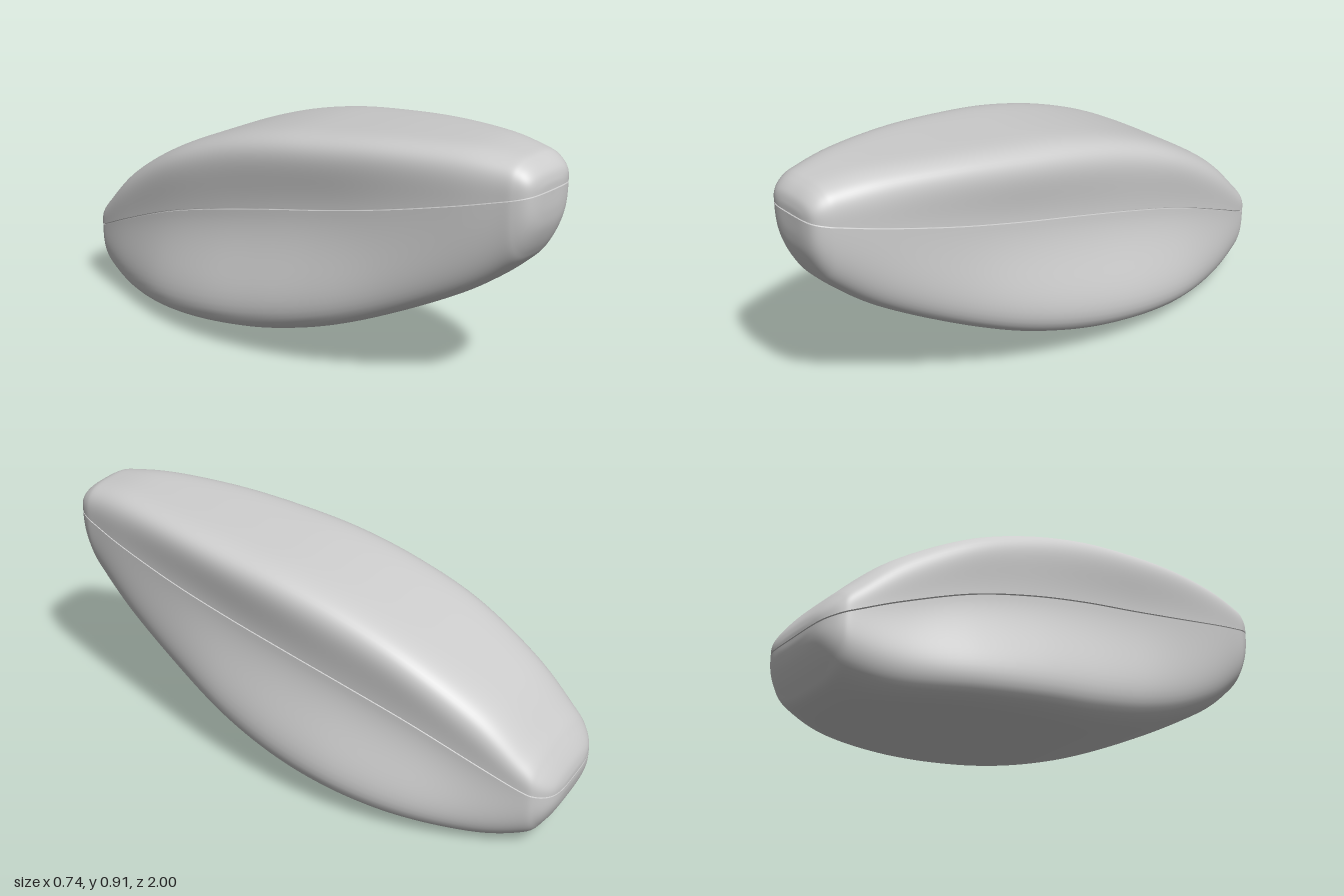
import * as THREE from 'three';

// Cross-section stations from nose to tail:
// z, top y, seam y, bottom y, upper half-width, seam half-width, lower half-width
const STATIONS = [
  [1, 0.79, 0.79, 0.79, 0, 0, 0],
  [0.998, 0.822, 0.79, 0.715, 0.07, 0.07, 0.07],
  [0.985, 0.855, 0.787, 0.65, 0.113, 0.113, 0.11],
  [0.95, 0.885, 0.778, 0.575, 0.14, 0.14, 0.135],
  [0.9, 0.9, 0.765, 0.515, 0.158, 0.156, 0.152],
  [0.75, 0.91, 0.725, 0.398, 0.198, 0.19, 0.192],
  [0.5, 0.895, 0.662, 0.265, 0.248, 0.228, 0.256],
  [0.25, 0.868, 0.606, 0.158, 0.284, 0.254, 0.33],
  [0, 0.83, 0.555, 0.087, 0.303, 0.275, 0.382],
  [-0.25, 0.765, 0.497, 0.047, 0.306, 0.285, 0.403],
  [-0.5, 0.665, 0.425, 0.02, 0.299, 0.281, 0.374],
  [-0.75, 0.52, 0.328, 0, 0.271, 0.26, 0.3],
  [-0.9, 0.385, 0.263, 0.03, 0.24, 0.236, 0.245],
  [-0.95, 0.33, 0.243, 0.078, 0.215, 0.214, 0.215],
  [-0.985, 0.28, 0.229, 0.14, 0.165, 0.165, 0.165],
  [-0.998, 0.245, 0.222, 0.19, 0.1, 0.1, 0.1],
  [-1, 0.22, 0.22, 0.22, 0, 0, 0],
];
const ROWS = 128, COLS = 72, GAP = 0.0025;

// Smooth interpolation of the stations; each curve carries z plus two values
const curveOf = (i, j) => new THREE.CatmullRomCurve3(
  STATIONS.map((s) => new THREE.Vector3(s[0], s[i], s[j])), false, 'catmullrom', 0.5);
const heights = curveOf(1, 2), mixed = curveOf(3, 4), widths = curveOf(5, 6);

function sectionAt(t) {
  const a = heights.getPoint(t), b = mixed.getPoint(t), c = widths.getPoint(t);
  return {
    z: THREE.MathUtils.clamp(a.x, -1, 1), top: a.y, seam: a.z,
    bottom: Math.max(0, b.y), upper: b.z, waist: c.y, lower: c.z,
  };
}

// Indexed surface from a grid of points
function gridGeometry(rows, cols, pointAt, flip) {
  const pos = [], index = [];
  for (let i = 0; i <= rows; i++) {
    for (let j = 0; j <= cols; j++) pos.push(...pointAt(i, j));
  }
  for (let i = 0; i < rows; i++) {
    for (let j = 0; j < cols; j++) {
      const a = i * (cols + 1) + j, b = a + 1, c = a + cols + 1, d = c + 1;
      if (flip) index.push(a, c, b, b, c, d);
      else index.push(a, b, c, b, d, c);
    }
  }
  const g = new THREE.BufferGeometry();
  g.setAttribute('position', new THREE.Float32BufferAttribute(pos, 3));
  g.setIndex(index);
  g.computeVertexNormals();
  return g;
}

// Half shell: a rounded-square arch that flares away from the seam,
// squarer at mid-length and softer towards both ends
function shellGeometry(side) {
  const sections = Array.from({ length: ROWS + 1 }, (_, i) => sectionAt(i / ROWS));
  return gridGeometry(ROWS, COLS, (i, j) => {
    const s = sections[i], angle = (j / COLS) * Math.PI;
    const n = THREE.MathUtils.lerp(3.2, 5.5, THREE.MathUtils.smoothstep(1 - Math.abs(s.z), 0, 0.6));
    const c = Math.cos(angle), q = Math.max(0, Math.sin(angle));
    const r = Math.pow(Math.abs(c) ** n + q ** n, -1 / n);
    const v = r * q;
    const base = s.seam + side * GAP;
    const height = Math.max(0, side > 0 ? s.top - base : base - s.bottom);
    const flare = THREE.MathUtils.smoothstep(v, 0, 1);
    const w = THREE.MathUtils.lerp(s.waist, side > 0 ? s.upper : s.lower, flare);
    return [r * c * Math.max(0, w), base + side * v * height, s.z];
  }, side > 0);
}

// Shallow recessed channel running all round between the shells
function grooveGeometry() {
  const profile = [[1, 1], [0, 1], [0, -1], [1, -1]];
  return gridGeometry(ROWS * 2, 3, (i, j) => {
    const mirror = i <= ROWS ? 1 : -1;
    const s = sectionAt((i <= ROWS ? i : 2 * ROWS - i) / ROWS);
    const [out, up] = profile[j];
    return [
      mirror * Math.max(0, s.waist) * (out ? 1 : 0.975),
      s.seam + up * GAP,
      s.z * (out ? 1 : 0.994),
    ];
  }, false);
}

export function createModel() {
  const group = new THREE.Group();
  group.name = 'roundedShellBody';
  const grey = new THREE.MeshStandardMaterial({ color: 0xcccccc, side: THREE.DoubleSide });
  grey.name = 'lightGrey';

  const add = (name, geometry) => {
    const mesh = new THREE.Mesh(geometry, grey);
    mesh.name = name;
    group.add(mesh);
  };
  add('upperShell', shellGeometry(1));
  add('lowerShell', shellGeometry(-1));
  add('seamGroove', grooveGeometry());
  return group;
}
